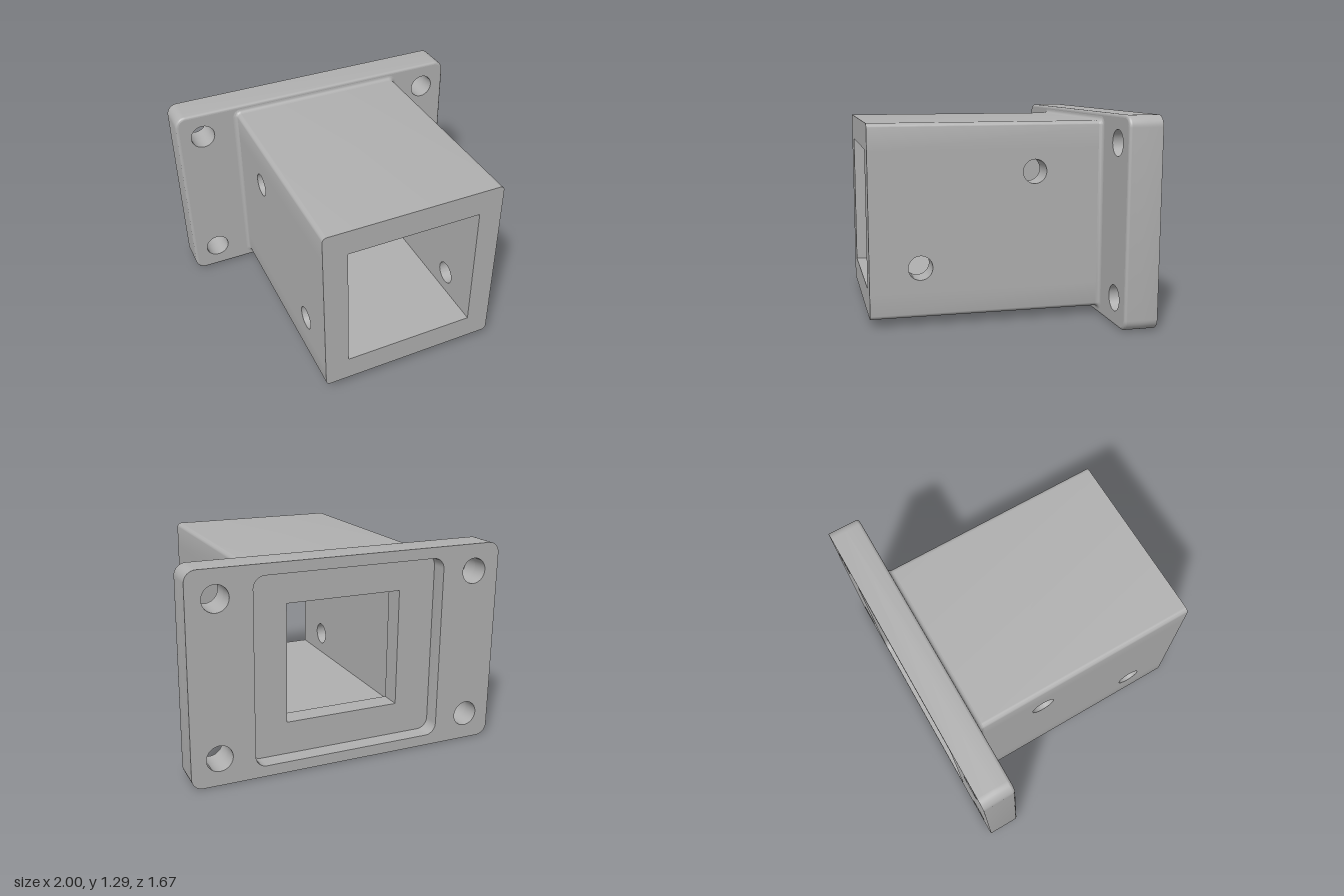
import * as THREE from 'three';
import { toCreasedNormals } from 'three/addons/utils/BufferGeometryUtils.js';

const CENTER_Y = 0.643;
// half sizes
const FLANGE = [1, 0.643, 0.07], TUBE = [0.585, 0.593, 0.03];
const BORE = 0.43, LIP = 0.37;
// z stations, back to front
const BACK = -0.835, RECESS = -0.73, FACE = -0.625, LIP_END = -0.6, FRONT = 0.835;

// counter-clockwise rounded rectangle, grown outward by g
function outline([hw, hh, r], g = 0) {
  const pts = [], n = 8, R = r + g;
  [[1, 1], [-1, 1], [-1, -1], [1, -1]].forEach(([sx, sy], q) => {
    for (let i = 0; i <= n; i++) {
      const a = (q + i / n) * Math.PI / 2;
      pts.push(new THREE.Vector2(sx * (hw - r) + R * Math.cos(a), sy * (hh - r) + R * Math.sin(a)));
    }
  });
  return pts;
}

const square = (h) => new THREE.Path([[-h, -h], [-h, h], [h, h], [h, -h]].map(([x, y]) => new THREE.Vector2(x, y)));
const circle = (x, y, r) => new THREE.Path().absarc(x, y, r, 0, Math.PI * 2, true);
const smooth = (geo) => toCreasedNormals(geo, 0.6);

function extrude(points, holes, z0, z1) {
  const shape = new THREE.Shape(points);
  shape.holes.push(...holes);
  const geo = new THREE.ExtrudeGeometry(shape, { depth: z1 - z0, bevelEnabled: false, curveSegments: 24 });
  return smooth(geo.translate(0, 0, z0));
}

// outward-facing band through rounded rectangles; rows are [growth, z]
function band(rect, rows) {
  const pos = [], idx = [];
  const rings = rows.map(([g, z]) => outline(rect, g).map((p) => [p.x, p.y, z]));
  rings.forEach((ring) => ring.forEach((p) => pos.push(...p)));
  const n = rings[0].length;
  for (let j = 0; j < n; j++) {
    for (let i = 0; i < rows.length - 1; i++) {
      const k = (j + 1) % n;
      const a = i * n + j, b = i * n + k, c = (i + 1) * n + k, d = (i + 1) * n + j;
      idx.push(a, b, c, a, c, d);
    }
  }
  const geo = new THREE.BufferGeometry();
  geo.setAttribute('position', new THREE.Float32BufferAttribute(pos, 3));
  geo.setIndex(idx);
  return smooth(geo);
}

export function createModel() {
  const group = new THREE.Group();
  group.name = 'flangedSquareTube';
  const grey = new THREE.MeshStandardMaterial({ color: 0xb0b0b0 });
  grey.name = 'grey';
  const body = new THREE.Group();
  body.name = 'body';
  body.position.y = CENTER_Y;
  group.add(body);
  const add = (name, geo) => {
    const mesh = new THREE.Mesh(geo, grey);
    mesh.name = name;
    body.add(mesh);
    return mesh;
  };

  // flange: back layer with recess, front layer with the narrow opening
  const bolts = () => [-1, 1].flatMap((sx) => [-1, 1].map((sy) => circle(sx * 0.828, sy * 0.473, 0.08)));
  const recess = new THREE.Path(outline([0.61, 0.575, 0.07]).reverse());
  add('flangeBack', extrude(outline(FLANGE), [recess, ...bolts()], BACK, RECESS));
  const edge = 0.018, rim = [[0, RECESS]], fillet = [];
  add('flangeFront', extrude(outline(FLANGE, -edge), [square(LIP), ...bolts()], RECESS, FACE));

  // rounded front edge of the flange, and fillet where the tube meets it
  const f = LIP_END - FACE;
  for (let i = 0; i <= 6; i++) {
    const a = i / 6 * Math.PI / 2;
    rim.push([-edge * (1 - Math.cos(a)), FACE - edge + edge * Math.sin(a)]);
    fillet.push([f * (1 - Math.sin(a)), LIP_END - f * Math.cos(a)]);
  }
  add('flangeRim', band(FLANGE, rim));
  add('tubeFillet', band(TUBE, fillet));

  // lip that narrows the bore
  add('boreLip', extrude(outline(TUBE), [square(LIP)], FACE, LIP_END));

  // top and bottom walls, rounded on the outer corners
  const [hw, hh] = TUBE;
  const cap = [new THREE.Vector2(hw, BORE), ...outline(TUBE).filter((p) => p.y > BORE), new THREE.Vector2(-hw, BORE)];
  add('topWall', extrude(cap, [], LIP_END, FRONT));
  add('bottomWall', extrude(cap, [], LIP_END, FRONT)).rotation.z = Math.PI;

  // side walls, each with two cross holes
  const side = [[LIP_END, -BORE], [FRONT, -BORE], [FRONT, BORE], [LIP_END, BORE]].map(([z, y]) => new THREE.Vector2(z, y));
  for (const [name, x] of [['leftWall', hw], ['rightWall', -BORE]]) {
    const holes = [circle(-0.19, 0.287, 0.075), circle(0.525, -0.283, 0.075)];
    const geo = extrude(side, holes, 0, hw - BORE).rotateY(-Math.PI / 2);
    add(name, geo.translate(x, 0, 0));
  }
  return group;
}
